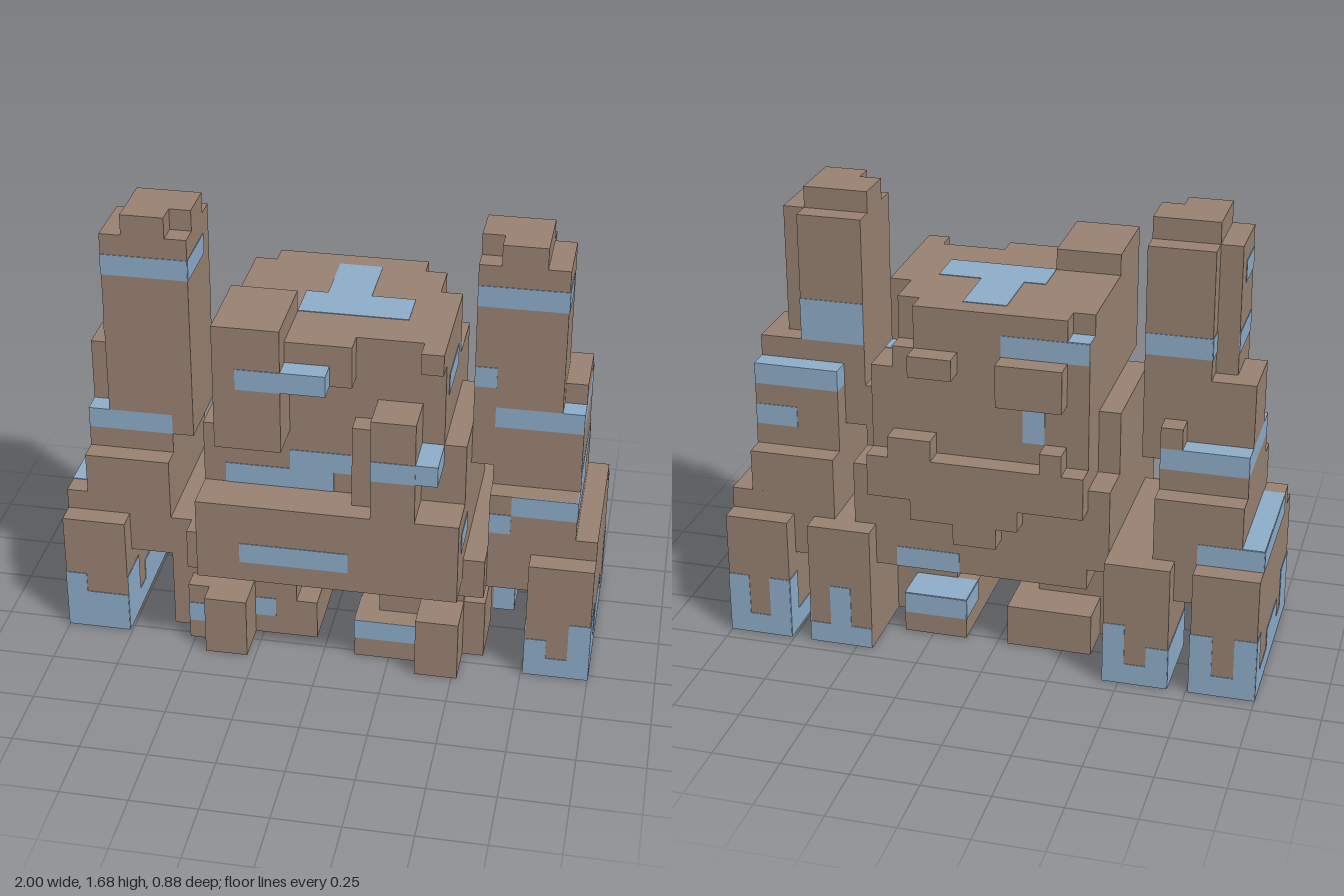
import * as THREE from 'three';

const U = 0.08; // size of one cell

export function createModel() {
  const stone = new THREE.MeshStandardMaterial({ color: 0x988271 });
  stone.name = 'brownStone';
  const blue = new THREE.MeshStandardMaterial({ color: 0x8eadca });
  blue.name = 'blueStone';
  const root = new THREE.Group();
  root.name = 'blockGolem';
  let group = root, mirrored = false;

  const part = (name) => {
    group = new THREE.Group();
    group.name = name;
    root.add(group);
  };
  // box from cell bounds: x 0..25, y 0..21, z 0..11
  const box = (name, x0, x1, y0, y1, z0, z1, mat = stone) => {
    if (mirrored) [x0, x1] = [25 - x1, 25 - x0];
    const mesh = new THREE.Mesh(new THREE.BoxGeometry((x1 - x0) * U, (y1 - y0) * U, (z1 - z0) * U), mat);
    mesh.position.set(((x0 + x1) / 2 - 12.5) * U, (y0 + y1) / 2 * U, ((z0 + z1) / 2 - 5.5) * U);
    mesh.name = name;
    group.add(mesh);
  };
  // thin blue plates lying on a plane of constant x, y or z
  const T = 0.03;
  const paintX = (x, y0, y1, z0, z1) => box('bluePatch', x - T, x + T, y0, y1, z0, z1, blue);
  const paintY = (y, x0, x1, z0, z1) => box('bluePatch', x0, x1, y - T, y + T, z0, z1, blue);
  const paintZ = (z, x0, x1, y0, y1) => box('bluePatch', x0, x1, y0, y1, z - T, z + T, blue);

  // side towers, the right one mirrored; its blue ledge sits lower
  for (const right of [false, true]) {
    mirrored = right;
    part(right ? 'rightTower' : 'leftTower');
    const ledge = right ? 10 : 12;
    box('cap', 20, 22, 20, 21, 4, 7);
    box('capStep', 19, 20, 20, 21, 4, 6);
    box('column', 19, 23, ledge + 1, 20, 4, 7);
    box('columnBack', 19, 22, ledge + 1, 20, 3, 4);
    box('columnFoot', 19, 20, 10, ledge + 1, 3, 7);
    box('collar', 22, 24, ledge + 1, 14, 3, 6);
    box('blueLedge', 20, 24, ledge, ledge + 1, 2, 7, blue);
    box('lowerStep', 20, 24, 9, 10, 2, 7);
    box('lower', 20, 24, 7, 9, 1, 8);
    box('base', 20, 25, 4, 7, 1, 8);
    paintZ(7, 19, 23, 18, 19);
    paintX(23, 18, 19, 5, 7);
    if (right) {
      box('collarBack', 20, 21, 11, 12, 2, 3);
      paintX(19, 18, 19, 4, 7);
      paintZ(3, 19, 22, 15, 16);
      paintX(22, 15, 16, 3, 4);
      paintX(23, 15, 16, 4, 7);
      paintY(7, 24, 25, 1, 7);
      paintX(25, 6, 7, 1, 7);
      paintZ(1, 22, 25, 6, 7);
    } else {
      box('middle', 20, 24, 10, 12, 2, 7);
      paintX(22, 14, 16, 3, 4);
      paintZ(3, 19, 22, 14, 16);
      paintZ(7, 19, 20, 14, 15);
      paintZ(8, 21, 24, 8, 9);
      paintZ(8, 20, 21, 7, 8);
      paintZ(2, 22, 24, 10, 11);
      paintX(24, 9, 10, 2, 7);
      paintX(24, 8, 9, 4, 8);
    }

    // outer foot with a ragged blue hem
    box('outerFoot', 22, 25, 0, 6, 0, 9);
    paintY(0, 22, 25, 0, 9);
    const hem = right ? [2, 2, 3] : [2, 1, 3];
    hem.forEach((h, i) => paintZ(9, 22 + i, 23 + i, 0, h));
    [3, 1, 3].forEach((h, i) => paintZ(0, 22 + i, 23 + i, 0, h));
    for (const [a, b, h] of [[0, 1, 3], [1, 3, 1], [3, 6, 2], [6, 7, 1], [7, 9, 3]]) {
      paintX(25, 0, h, a, b);
      paintX(22, 0, h, a, b);
    }

    // inner rear foot and the link to the body
    box('rearFoot', 18, 21, 0, 6, 0, 4);
    paintY(0, 18, 21, 0, 4);
    const rearHem = right ? [3, 1, 2] : [1, 3, 1];
    rearHem.forEach((h, i) => paintZ(0, 18 + i, 19 + i, 0, h));
    paintZ(4, 20, 21, 0, 2);
    paintX(21, 0, 2, 0, 4);
    box('link', 18, 20, right ? 3 : 4, 6, 4, 8);
    box('linkFront', 18, right ? 19 : 20, 4, 6, 8, 9);

    // stepped front foot
    part(right ? 'rightFrontFoot' : 'leftFrontFoot');
    box('ankle', 15, 19, 0, 4, 4, 8);
    box('footSide', 19, 20, 0, 3, 5, 8);
    box('toeSide', 18, 19, 0, 3, 8, 9);
    if (right) {
      box('ankleInner', 14, 15, 2, 4, 4, 8);
      box('footInner', 13, 15, 0, 2, 4, 8);
      box('heel', 13, 17, 0, 2, 2, 4);
      box('toe', 16, 18, 0, 3, 8, 10);
      paintZ(9, 18, 19, 1, 2);
      paintZ(8, 15, 16, 1, 2);
    } else {
      box('footInner', 14, 17, 0, 2, 4, 9);
      box('heel', 14, 17, 0, 2, 2, 4);
      box('toe', 17, 18, 0, 3, 8, 10);
      box('toeOuter', 18, 19, 0, 3, 9, 10);
      paintZ(9, 14, 17, 1, 2);
      paintX(14, 1, 2, 7, 9);
      paintZ(2, 14, 17, 1, 2);
      paintX(14, 1, 2, 2, 4);
      paintY(2, 14, 17, 2, 4);
    }
  }
  mirrored = false;

  // body
  part('body');
  box('underside', 8, 19, 4, 5, 1, 9);
  box('lowerTorso', 7, 19, 5, 9, 1, 11);
  box('waist', 7, 19, 9, 12, 3, 9);
  box('midTorso', 8, 18, 9, 14, 1, 9);
  box('upperTorso', 8, 17, 14, 17, 2, 9);
  box('shoulder', 17, 18, 14, 17, 4, 9);
  box('chestBlock', 8, 11, 12, 18, 7, 11);
  box('blueShelf', 11, 13, 15, 16, 9, 11, blue);
  box('browBar', 11, 14, 16, 17, 9, 10);
  box('browBarEnd', 13, 14, 15, 16, 9, 10);
  box('browCube', 17, 18, 16, 17, 9, 10);
  box('chestPost', 15, 17, 9, 14, 9, 11);
  box('chestPostSide', 14, 15, 9, 13, 9, 10);
  box('bluePeg', 17, 18, 11, 12, 9, 11, blue);
  paintZ(11, 9, 11, 15, 16);
  paintZ(11, 15, 17, 11, 12);
  paintZ(11, 9, 14, 6, 7);
  paintZ(9, 8, 13, 9, 10);
  paintZ(9, 11, 14, 10, 11);
  paintY(17, 12, 14, 2, 5);
  paintY(17, 11, 16, 5, 7);
  paintY(14, 17, 18, 3, 4);
  paintX(19, 7, 8, 8, 10);
  paintX(18, 14, 15, 5, 8);

  // bumps on the back
  part('backRelief');
  box('backStep', 8, 17, 14, 15, 1, 2);
  box('backRidge', 8, 16, 15, 16, 1, 2);
  box('backRidgeTop', 9, 16, 16, 17, 1, 2);
  box('backKnob', 9, 12, 13, 15, 0, 1);
  box('backKnobSmall', 14, 16, 14, 15, 0, 1);
  for (const [x0, x1, y0, y1] of [[8, 18, 8, 10], [9, 10, 10, 11], [15, 17, 10, 11], [11, 16, 7, 8], [12, 14, 6, 7]])
    box('backSlab', x0, x1, y0, y1, 0, 1);
  paintZ(1, 8, 12, 15, 16);
  paintY(16, 8, 9, 1, 2);
  paintZ(1, 10, 11, 11, 13);
  paintZ(1, 14, 17, 4, 5);
  return root;
}
